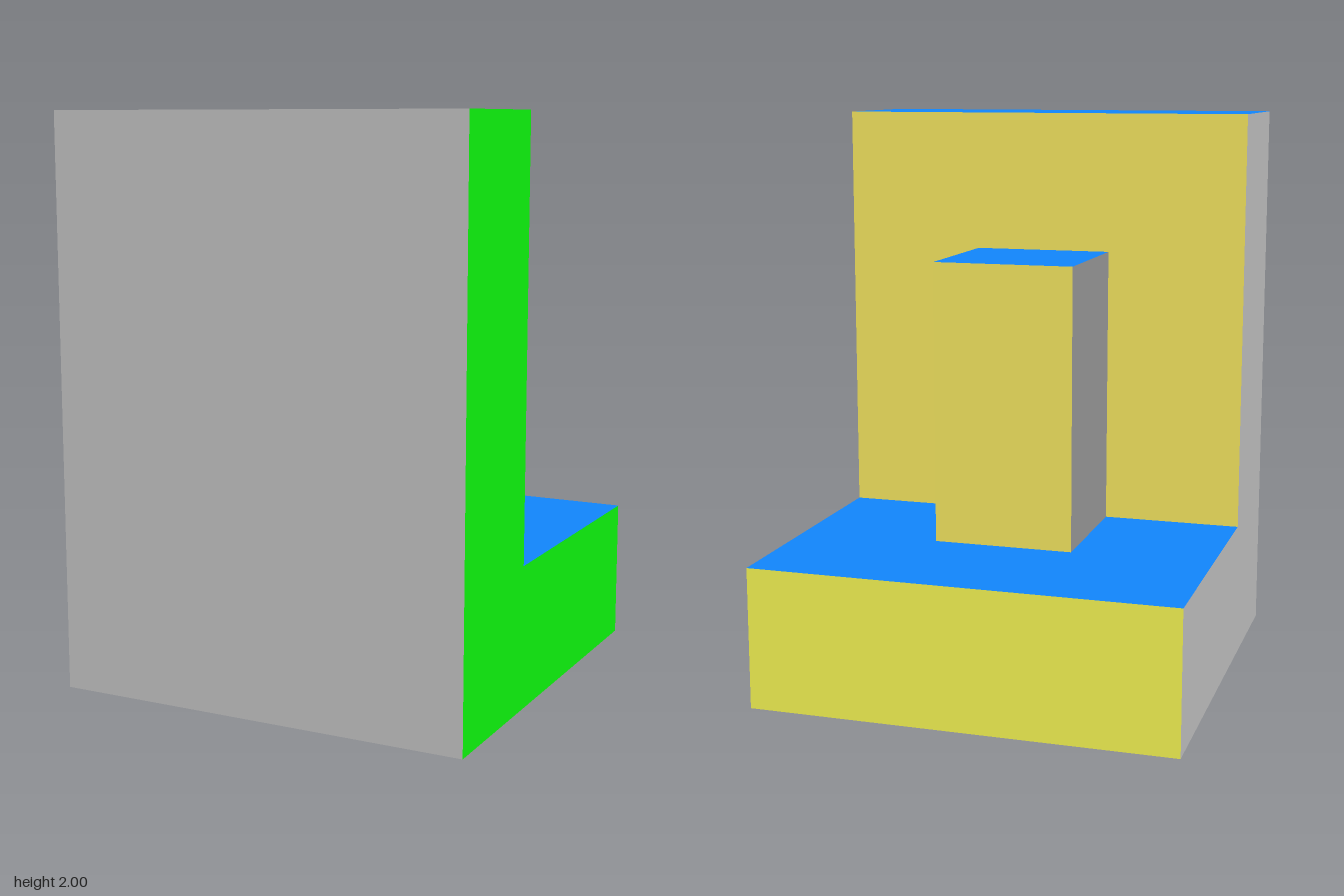
import * as THREE from 'three';

const paint = (color = 0xcccccc) => new THREE.MeshStandardMaterial({ color, flatShading: true });

const grey = paint();
const darkGrey = paint(0xa2a2a2);
const blue = paint(0x1187ff);
const green = paint(0x0fff0f);
const pegGreen = paint(0x2cea15);
const baseYellow = paint(0xfbfb55);
const wallYellow = paint(0xfaeb62);

// Assign each triangle of a non-indexed geometry to a material by its direction
function groupByFace(geometry, pick) {
  const p = geometry.attributes.position;
  const tri = new THREE.Triangle();
  const normal = new THREE.Vector3();
  const middle = new THREE.Vector3();
  geometry.clearGroups();
  for (let i = 0; i < p.count; i += 3) {
    tri.setFromAttributeAndIndices(p, i, i + 1, i + 2);
    tri.getNormal(normal);
    tri.getMidpoint(middle);
    geometry.addGroup(i, 3, pick(normal, middle));
  }
}

export function createModel() {
  const model = new THREE.Group();
  model.name = 'steppedBlock';

  // L-shaped body: side profile in (z, y), extruded across the width
  const profile = new THREE.Shape(
    [[-0.75, 0], [0.75, 0], [0.75, 2], [0.25, 2], [0.25, 0.5], [-0.75, 0.5]]
      .map(([z, y]) => new THREE.Vector2(z, y))
  );
  const bodyGeometry = new THREE.ExtrudeGeometry(profile, { depth: 1.5, bevelEnabled: false });
  bodyGeometry.rotateY(-Math.PI / 2).translate(0.75, 0, 0);
  groupByFace(bodyGeometry, (n, m) => {
    if (n.x > 0.5) return 1;
    if (n.y > 0.5) return 2;
    if (n.z < -0.5) return m.z < 0 ? 3 : 4;
    return 0;
  });
  const body = new THREE.Mesh(bodyGeometry, [grey, green, blue, baseYellow, wallYellow]);
  body.name = 'baseAndWall';
  model.add(body);

  // Upright block standing on the base against the wall
  const peg = new THREE.Mesh(
    new THREE.BoxGeometry(0.5, 1, 0.5),
    [pegGreen, darkGrey, blue, grey, grey, wallYellow]
  );
  peg.name = 'uprightBlock';
  peg.position.set(0, 1, 0);
  model.add(peg);

  return model;
}
